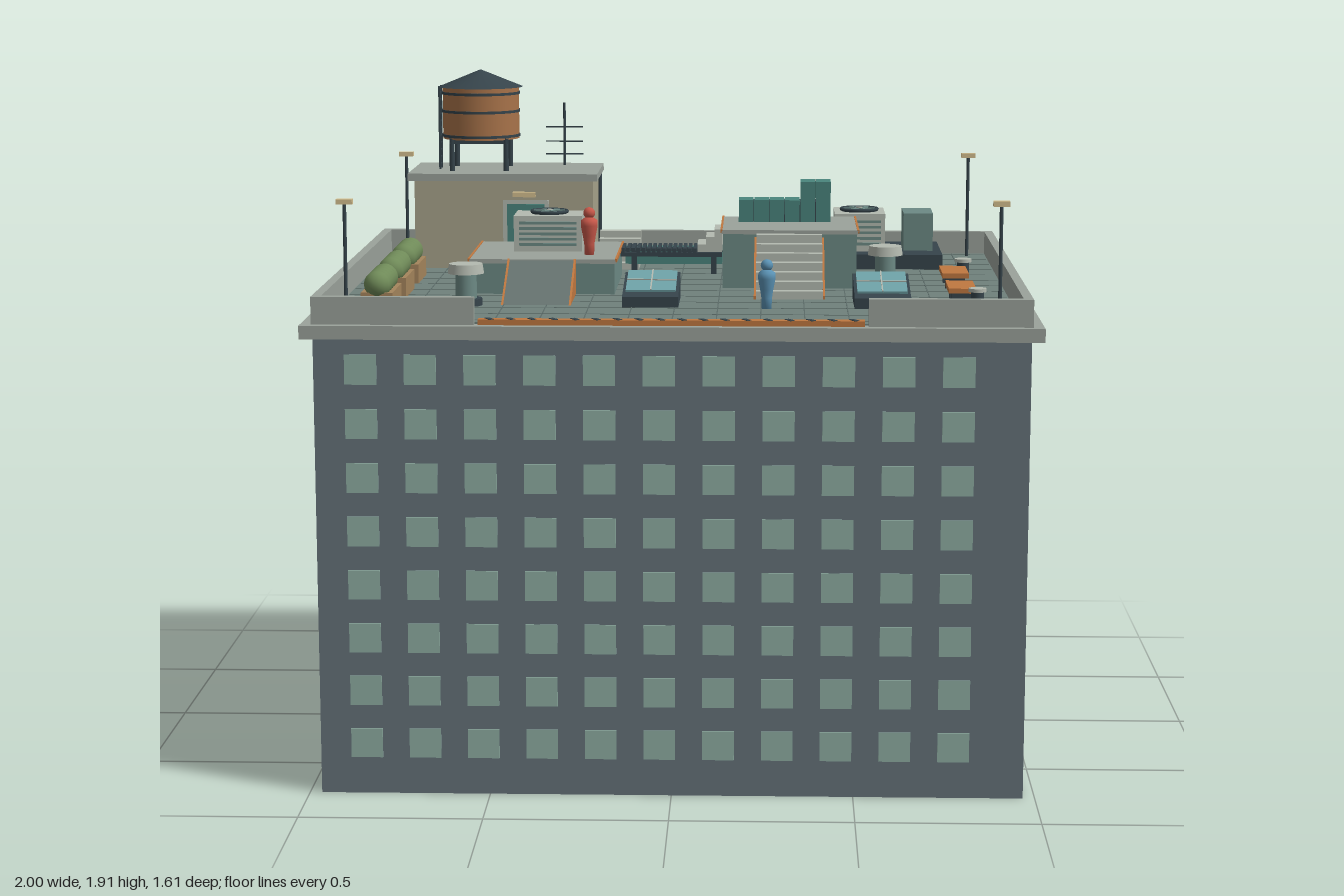
import * as THREE from 'three';

const C = {
  wall: 0x66737b, window: 0x90afa4, ledge: 0x9ba39b, floor: 0x70817c, line: 0x5a6a67, dark: 0x36444b,
  cream: 0xa8a48c, orange: 0xc07840, teal: 0x4a857d, tealGrey: 0x6d8a85, metal: 0xb4bab0, wood: 0xa8734a,
  planter: 0xa5855c, leaf: 0x6f8a58, glass: 0x6fa3a8, red: 0xc8584a, blue: 0x5b93b5, lamp: 0xd6c190, ramp: 0x667370,
};
const mats = {};
const mat = (c) => (mats[c] ??= new THREE.MeshStandardMaterial({ color: C[c] }));

function add(parent, name, geo, color, x = 0, y = 0, z = 0) {
  const m = new THREE.Mesh(geo, mat(color));
  m.name = name;
  m.position.set(x, y, z);
  parent.add(m);
  return m;
}
// Box given by its limits on each axis
const box = (p, name, color, x0, x1, y0, y1, z0, z1) =>
  add(p, name, new THREE.BoxGeometry(x1 - x0, y1 - y0, z1 - z0), color, (x0 + x1) / 2, (y0 + y1) / 2, (z0 + z1) / 2);
// Upright cylinder from y0 to y1
const cyl = (p, name, color, x, z, y0, y1, r, rTop = r, n = 20) =>
  add(p, name, new THREE.CylinderGeometry(rTop, r, y1 - y0, n), color, x, (y0 + y1) / 2, z);
// Side profile of [z, y] points swept from x0 to x1
function prism(p, name, color, pts, x0, x1) {
  const g = new THREE.ExtrudeGeometry(new THREE.Shape(pts.map((q) => new THREE.Vector2(...q))), { depth: x1 - x0, bevelEnabled: false });
  return add(p, name, g.rotateY(-Math.PI / 2), color, x1, 0, 0);
}
function group(parent, name) {
  const g = new THREE.Group();
  g.name = name;
  parent.add(g);
  return g;
}
const F = 1.315; // roof floor level

function building(root) {
  const g = group(root, 'building');
  box(g, 'walls', 'wall', -0.967, 0.967, 0, 1.275, -0.775, 0.775);
  box(g, 'ledge', 'ledge', -1, 1, 1.273, 1.31, -0.805, 0.805);
  box(g, 'roofFloor', 'floor', -0.945, 0.945, 1.3, F, -0.755, 0.755);
  for (const s of [-1, 1]) {
    box(g, 'sideParapet', 'ledge', s * 0.957 - 0.013, s * 0.957 + 0.013, 1.3, 1.385, -0.78, 0.78);
    box(g, 'frontParapet', 'ledge', s * 0.75 - 0.22, s * 0.75 + 0.22, 1.3, 1.385, 0.755, 0.78);
  }
  box(g, 'backParapet', 'ledge', -0.95, 0.95, 1.3, 1.385, -0.78, -0.755);
  const win = group(g, 'windows');
  for (let r = 0; r < 8; r++) {
    const y = 0.144 + r * 0.149;
    for (const s of [-1, 1]) {
      for (let i = 0; i < 11; i++) add(win, 'window', new THREE.BoxGeometry(0.087, 0.082, 0.012), 'window', -0.839 + i * 0.1613, y, s * 0.774);
      for (let i = 0; i < 9; i++) add(win, 'window', new THREE.BoxGeometry(0.012, 0.082, 0.087), 'window', s * 0.966, y, -0.648 + i * 0.162);
    }
  }
  // Paving joints
  for (let i = -7; i <= 7; i++) box(g, 'joint', 'line', i * 0.12 - 0.0015, i * 0.12 + 0.0015, F, F + 0.001, -0.75, 0.75);
  for (let i = -6; i <= 6; i++) box(g, 'joint', 'line', -0.94, 0.94, F, F + 0.001, i * 0.12 - 0.0015, i * 0.12 + 0.0015);
  // Striped barrier on the open front edge
  box(g, 'hazardStrip', 'orange', -0.52, 0.52, 1.305, 1.325, 0.748, 0.778);
  for (let i = 0; i < 18; i++) {
    const s = add(g, 'hazardStripe', new THREE.BoxGeometry(0.014, 0.002, 0.032), 'dark', -0.49 + i * 0.0577, 1.3255, 0.763);
    s.rotation.y = 0.5;
  }
}

function stairs(p, x0, x1, z0, z1, top, n) {
  const g = group(p, 'stairs'), d = (z1 - z0) / n, h = (top - F) / n;
  for (let i = 0; i < n; i++) box(g, 'step', 'metal', x0, x1, F, top - h * i, z0 + d * i, z0 + d * (i + 1));
}

function stairHouse(root) {
  const g = group(root, 'stairHouse');
  box(g, 'houseWalls', 'cream', -0.82, -0.275, F, 1.585, -0.695, -0.355);
  box(g, 'houseRoof', 'ledge', -0.84, -0.262, 1.583, 1.605, -0.708, -0.345);
  box(g, 'doorFrame', 'metal', -0.55, -0.41, F, 1.525, -0.36, -0.348);
  box(g, 'door', 'teal', -0.537, -0.423, F, 1.513, -0.36, -0.344);
  box(g, 'doorWindow', 'dark', -0.505, -0.455, 1.43, 1.485, -0.36, -0.341);
  box(g, 'doorLamp', 'lamp', -0.52, -0.45, 1.535, 1.55, -0.36, -0.338);
  cyl(g, 'drainPipe', 'dark', -0.27, -0.64, F, 1.59, 0.006, 0.006, 8);
  stairs(g, -0.262, -0.135, -0.53, -0.335, 1.415, 5);
  // Aerial
  cyl(g, 'aerialPole', 'dark', -0.38, -0.635, 1.6, 1.8, 0.004, 0.004, 8);
  [1.64, 1.68, 1.725].forEach((y) => box(g, 'aerialBar', 'dark', -0.438, -0.322, y - 0.002, y + 0.002, -0.638, -0.632));
}

function waterTower(root) {
  const g = group(root, 'waterTower');
  g.position.set(-0.63, 0, -0.52);
  for (const x of [-0.083, 0.083]) for (const z of [-0.078, 0.078]) cyl(g, 'towerLeg', 'dark', x, z, 1.6, 1.705, 0.008, 0.008, 8);
  for (const s of [-1, 1]) {
    box(g, 'towerBeam', 'dark', -0.09, 0.09, 1.688, 1.7, s * 0.078 - 0.006, s * 0.078 + 0.006);
  }
  cyl(g, 'tank', 'wood', 0, 0, 1.7, 1.86, 0.118, 0.118, 24);
  [1.71, 1.785, 1.84].forEach((y) => cyl(g, 'tankHoop', 'dark', 0, 0, y - 0.004, y + 0.004, 0.121, 0.121, 24));
  cyl(g, 'tankRoof', 'dark', 0, 0, 1.858, 1.91, 0.13, 0.002, 24);
  // Ladder on the outer side
  for (const z of [-0.025, 0.025]) box(g, 'ladderRail', 'dark', -0.129, -0.123, 1.605, 1.86, z - 0.003, z + 0.003);
  for (let i = 0; i < 11; i++) box(g, 'ladderRung', 'dark', -0.128, -0.124, 1.618 + i * 0.022, 1.622 + i * 0.022, -0.025, 0.025);
}

// Cooling unit with a fan on top and louvres on the front
function coolingUnit(p, x, z, w, d, y0, y1) {
  const g = group(p, 'coolingUnit'), r = Math.min(w, d) * 0.36;
  box(g, 'unitCase', 'metal', x - w / 2, x + w / 2, y0, y1, z - d / 2, z + d / 2);
  for (let i = 0; i < 5; i++) {
    const y = y0 + (y1 - y0) * (0.2 + i * 0.15);
    box(g, 'louvre', 'tealGrey', x - w * 0.42, x + w * 0.42, y - 0.004, y + 0.004, z + d / 2 - 0.002, z + d / 2 + 0.004);
  }
  cyl(g, 'fanWell', 'dark', x, z, y1, y1 + 0.006, r);
  const ring = add(g, 'fanRing', new THREE.TorusGeometry(r, 0.005, 6, 24), 'dark', x, y1 + 0.006, z);
  ring.rotation.x = Math.PI / 2;
  for (let i = 0; i < 6; i++) {
    const a = (i * Math.PI) / 3;
    const b = add(g, 'fanBlade', new THREE.BoxGeometry(r * 0.75, 0.003, r * 0.22), 'tealGrey', x + Math.cos(a) * r * 0.5, y1 + 0.008, z - Math.sin(a) * r * 0.5);
    b.rotation.y = a;
  }
  cyl(g, 'fanHub', 'metal', x, z, y1, y1 + 0.012, r * 0.18, r * 0.18, 12);
}

function platforms(root) {
  const g = group(root, 'platforms');
  const deck = (x0, x1, z0, z1, top) => {
    box(g, 'platform', 'tealGrey', x0 + 0.004, x1 - 0.004, F, top - 0.012, z0, z1);
    box(g, 'platformTop', 'ledge', x0, x1, top - 0.012, top, z0, z1);
    for (const x of [x0, x1]) box(g, 'edgeStrip', 'orange', x - 0.003, x + 0.003, top - 0.008, top + 0.002, z0, z1);
  };
  deck(-0.6, -0.177, -0.215, 0.207, 1.415);
  deck(0.123, 0.52, -0.285, 0.068, 1.485);
  coolingUnit(g, -0.385, -0.045, 0.2, 0.145, 1.415, 1.52);
  prism(g, 'ramp', 'ramp', [[0.205, F], [0.43, F], [0.205, 1.413]], -0.485, -0.295);
  for (const x of [-0.485, -0.295]) prism(g, 'rampEdge', 'orange', [[0.205, F], [0.432, F], [0.205, 1.417]], x - 0.003, x + 0.003);
  stairs(g, 0.225, 0.415, 0.068, 0.3, 1.475, 7);
  for (const x of [0.222, 0.418]) prism(g, 'stairEdge', 'orange', [[0.068, 1.44], [0.068, 1.465], [0.3, 1.325], [0.3, F], [0.285, F]], x - 0.003, x + 0.003);
  // Slatted bridge with steps up to the higher platform
  const b = group(g, 'bridge');
  for (const z of [-0.185, -0.065]) box(b, 'bridgeBeam', 'dark', -0.177, 0.123, 1.39, 1.403, z - 0.006, z + 0.006);
  for (let i = 0; i < 15; i++) box(b, 'bridgeSlat', 'dark', -0.175 + i * 0.0152, -0.165 + i * 0.0152, 1.403, 1.415, -0.19, -0.06);
  for (let i = 0; i < 3; i++) box(b, 'bridgeStep', 'metal', 0.05 + i * 0.025, 0.123, 1.405 + i * 0.022, 1.427 + i * 0.022, -0.19, -0.06);
  // Duct behind the bridge
  box(g, 'duct', 'teal', -0.172, 0.12, 1.345, 1.395, -0.288, -0.242);
  for (const x of [-0.145, 0.095]) box(g, 'ductBracket', 'dark', x - 0.008, x + 0.008, F, 1.4, -0.293, -0.237);
  // Row of lockers
  for (let i = 0; i < 6; i++) {
    const x = 0.17 + i * 0.0458;
    box(g, 'locker', 'teal', x + 0.001, x + 0.0445, 1.485, i > 3 ? 1.605 : 1.55, -0.225, -0.14);
  }
  box(g, 'lockerBack', 'dark', 0.175, 0.44, 1.485, 1.545, -0.22, -0.145);
}

function plantPad(root) {
  const g = group(root, 'plantPad');
  box(g, 'pad', 'dark', 0.21, 0.79, F, 1.36, -0.7, -0.365);
  for (const x of [0.333, 0.54]) coolingUnit(g, x, -0.54, 0.155, 0.19, 1.36, 1.475);
  box(g, 'controlCabinet', 'tealGrey', 0.675, 0.765, 1.36, 1.475, -0.625, -0.465);
}

function skylight(root, x0, z0) {
  const g = group(root, 'skylight'), x1 = x0 + 0.157, z1 = z0 + 0.225;
  prism(g, 'skylightFrame', 'dark', [[z0, F], [z1, F], [z1, 1.345], [z1 - 0.035, 1.35], [z0, 1.385]], x0, x1);
  const lid = group(g, 'skylightLid');
  lid.position.set((x0 + x1) / 2, 1.369, z0 + 0.095);
  lid.rotation.x = Math.atan2(0.035, 0.19);
  box(lid, 'glass', 'glass', -0.07, 0.07, 0, 0.006, -0.09, 0.09);
  box(lid, 'glazingBar', 'metal', -0.002, 0.002, 0.004, 0.009, -0.09, 0.09);
  box(lid, 'glazingBar', 'metal', -0.07, 0.07, 0.004, 0.009, -0.002, 0.002);
}

function person(root, color, x, y, z) {
  const prof = [[0, 0], [0.014, 0], [0.015, 0.03], [0.019, 0.055], [0.025, 0.085], [0.024, 0.1], [0.01, 0.11], [0, 0.111]];
  const g = group(root, 'person');
  g.position.set(x, y, z);
  add(g, 'overalls', new THREE.LatheGeometry(prof.map((p) => new THREE.Vector2(...p)), 14), color);
  add(g, 'head', new THREE.SphereGeometry(0.017, 14, 10), color, 0, 0.121, 0);
}

function furniture(root) {
  const g = group(root, 'roofFurniture');
  skylight(g, -0.147, 0.245);
  skylight(g, 0.5, 0.257);
  person(g, 'red', -0.26, 1.415, 0.09);
  person(g, 'blue', 0.256, F, 0.478);
  // Mushroom vents and small stools
  for (const [x, z] of [[-0.585, 0.433], [0.602, -0.008]]) {
    cyl(g, 'ventBase', 'dark', x, z, F, 1.335, 0.045);
    cyl(g, 'ventPipe', 'tealGrey', x, z, 1.33, 1.41, 0.03);
    cyl(g, 'ventCap', 'metal', x, z, 1.405, 1.432, 0.051, 0.047);
  }
  for (const z of [-0.2, 0.445]) {
    cyl(g, 'bollard', 'dark', 0.842, z, F, 1.36, 0.018);
    cyl(g, 'bollardCap', 'metal', 0.842, z, 1.36, 1.37, 0.025);
  }
  // Benches
  for (const z of [-0.007, 0.313]) {
    box(g, 'benchSeat', 'orange', 0.765, 0.842, 1.348, 1.362, z - 0.088, z + 0.088);
    for (const s of [-0.06, 0.06]) box(g, 'benchLeg', 'dark', 0.775, 0.832, F, 1.348, z + s - 0.008, z + s + 0.008);
  }
  // Planters with clipped shrubs
  for (const z of [-0.1, 0.2, 0.503]) {
    box(g, 'planterBox', 'planter', -0.858, -0.77, F, 1.372, z - 0.1, z + 0.1);
    for (let i = -2; i <= 2; i++) add(g, 'shrub', new THREE.SphereGeometry(0.038, 14, 10), 'leaf', -0.814, 1.392, z + i * 0.038);
  }
  // Corner lamp posts
  for (const x of [-0.885, 0.885]) for (const z of [-0.695, 0.695]) {
    cyl(g, 'lampPost', 'dark', x, z, F, 1.63, 0.005, 0.005, 8);
    box(g, 'lampHead', 'lamp', x - 0.022, x + 0.022, 1.626, 1.64, z - 0.011, z + 0.011);
  }
}

export function createModel() {
  const root = new THREE.Group();
  root.name = 'rooftopBuilding';
  [building, stairHouse, waterTower, platforms, plantPad, furniture].forEach((part) => part(root));
  return root;
}
